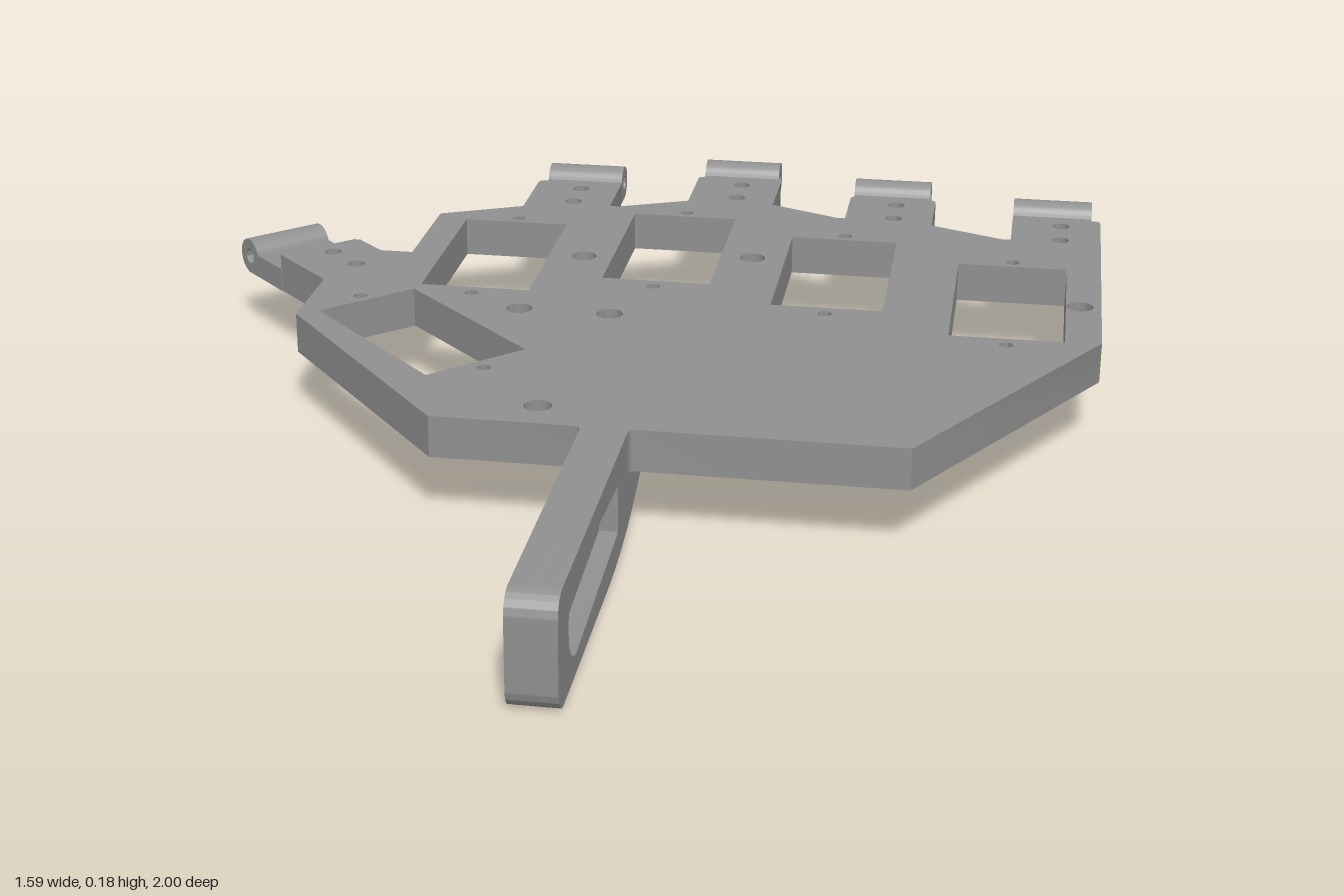
import * as THREE from 'three';
import { toCreasedNormals } from 'three/addons/utils/BufferGeometryUtils.js';

const grey = new THREE.MeshStandardMaterial({ color: 0x909090 });
grey.name = 'grey plastic';

const BOTTOM = 0.11, TOP = 0.18;

function extrude(shape, depth) {
  return toCreasedNormals(
    new THREE.ExtrudeGeometry(shape, { depth, bevelEnabled: false, curveSegments: 16 }), 0.6);
}

function part(name, geometry) {
  const mesh = new THREE.Mesh(geometry, grey);
  mesh.name = name;
  return mesh;
}

// Plan points are [x, z]; shapes are drawn with y = -z and laid flat
const plan = (points) => points.map(([x, z]) => new THREE.Vector2(x, -z));

function roundHole(x, y, r) {
  const path = new THREE.Path();
  path.absarc(x, y, r, 0, Math.PI * 2, true);
  return path;
}

// Finger root with slightly rounded outer corners
function fingerRoot(x, z) {
  const c = 0.01, w = 0.165;
  return [[x + w, z + c], [x + w - c * 0.3, z + c * 0.3], [x + w - c, z],
    [x + c, z], [x + c * 0.3, z + c * 0.3], [x, z + c]];
}

// [left x, root end z, servo window centre x, window back z]
const fingers = [
  [-0.305, -0.77, -0.298, -0.51],
  [0.005, -0.845, 0.013, -0.595],
  [0.315, -0.77, 0.325, -0.51],
  [0.63, -0.695, 0.637, -0.415],
];

function palm() {
  const [f1, f2, f3, f4] = fingers.map(([x, z]) => fingerRoot(x, z));
  const shape = new THREE.Shape(plan([
    [-0.243, 0.425], [-0.012, 0.425], [-0.003, 0.428], [0, 0.437],
    [0.075, 0.437], [0.078, 0.428], [0.087, 0.425], [0.51, 0.425], [0.795, -0.06],
    ...f4, [0.63, -0.565], [0.615, -0.562],
    [0.48, -0.62], ...f3, [0.315, -0.635], [0.3, -0.635],
    [0.17, -0.693], ...f2, [0.005, -0.69],
    [-0.125, -0.632], [-0.14, -0.635], ...f1, [-0.305, -0.605],
    [-0.452, -0.535], [-0.452, -0.312], [-0.512, -0.312],
    [-0.564, -0.363], [-0.576, -0.363], [-0.686, -0.257], [-0.572, -0.145], [-0.572, 0.03],
  ]));
  const window = (points) => shape.holes.push(new THREE.Path(plan(points)));
  const drill = (x, z, r) => shape.holes.push(roundHole(x, -z, r));

  // Servo windows with their screw holes, and two pin holes per finger
  for (const [x, z, wx, wz] of fingers) {
    window([[wx - 0.097, wz], [wx + 0.097, wz], [wx + 0.097, wz + 0.36], [wx - 0.097, wz + 0.36]]);
    drill(wx, wz - 0.022, 0.012);
    drill(wx, wz + 0.388, 0.012);
    drill(x + 0.091, z + 0.04, 0.016);
    drill(x + 0.091, z + 0.12, 0.016);
  }
  // Slanted thumb window and holes
  window([[-0.402, -0.125], [-0.15, 0.125], [-0.286, 0.262], [-0.538, 0.008]]);
  drill(-0.486, -0.075, 0.012);
  drill(-0.2, 0.215, 0.012);
  drill(-0.595, -0.29, 0.016);
  drill(-0.537, -0.234, 0.016);
  // Mounting holes
  for (const [x, z] of [[-0.137, -0.343], [0.168, -0.384], [0.758, -0.229],
    [-0.199, -0.06], [-0.04, -0.06], [-0.082, 0.356]]) drill(x, z, 0.023);

  const geometry = extrude(shape, TOP - BOTTOM);
  geometry.rotateX(-Math.PI / 2);
  geometry.translate(0, BOTTOM, 0);
  return part('palmPlate', geometry);
}

// Hinge: a low tongue ending in a barrel with a pin hole
function hinge(name, x, z, angle) {
  const r = 0.033, u = 0.122, y = BOTTOM + r;
  const shape = new THREE.Shape();
  shape.moveTo(0, BOTTOM);
  shape.lineTo(u, BOTTOM);
  shape.absarc(u, y, r, -Math.PI / 2, Math.PI - Math.asin(0.01 / r), false);
  shape.lineTo(0, y + 0.01);
  shape.holes.push(roundHole(u, y, 0.014));
  const geometry = extrude(shape, 0.15);
  geometry.translate(0, 0, -0.075);
  geometry.rotateY(angle);
  const mesh = part(name, geometry);
  mesh.position.set(x, 0, z);
  return mesh;
}

// Handle side profile, drawn as (z, y)
function handleProfile() {
  const s = new THREE.Shape();
  s.moveTo(0.43, TOP);
  s.lineTo(0.43, BOTTOM);
  s.lineTo(0.14, BOTTOM);
  s.bezierCurveTo(0.27, 0.1, 0.36, 0.005, 0.6, 0);
  s.lineTo(0.965, 0);
  s.absarc(0.965, 0.035, 0.035, -Math.PI / 2, 0, false);
  s.absarc(0.965, TOP - 0.035, 0.035, 0, Math.PI / 2, false);
  return s;
}

function handle() {
  const group = new THREE.Group();
  group.name = 'handle';
  const width = 0.075, recess = 0.03;

  // Tapered recess with a rounded outer end
  const rim = handleProfile();
  const cut = new THREE.Path();
  cut.moveTo(0.523, 0.052);
  cut.lineTo(0.523, 0.13);
  cut.lineTo(0.865, 0.155);
  cut.bezierCurveTo(0.945, 0.155, 0.945, 0.03, 0.865, 0.03);
  cut.closePath();
  rim.holes.push(cut);

  const core = extrude(handleProfile(), width - recess);
  core.rotateY(-Math.PI / 2);
  core.translate(width - recess, 0, 0);
  const side = extrude(rim, recess);
  side.rotateY(-Math.PI / 2);
  side.translate(width, 0, 0);
  group.add(part('handleCore', core), part('handleRecessedSide', side));
  return group;
}

export function createModel() {
  const model = new THREE.Group();
  model.name = 'handPlate';
  model.add(palm(), handle());
  fingers.forEach(([x, z], i) =>
    model.add(hinge('fingerHinge' + (i + 1), x + 0.075, z, Math.PI / 2)));
  model.add(hinge('thumbHinge', -0.633, -0.308, Math.PI * 0.75));
  return model;
}
